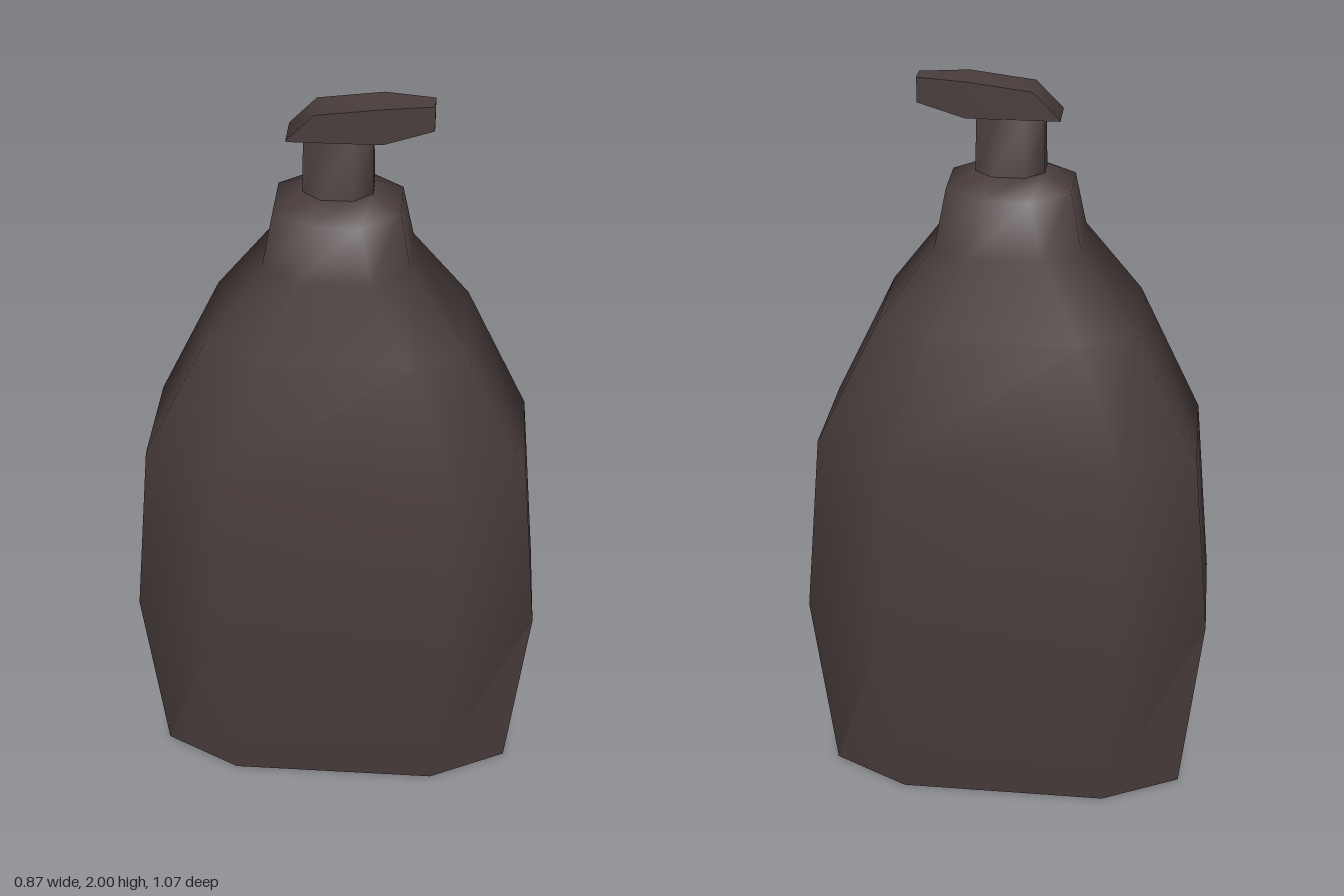
import * as THREE from 'three';
import { toCreasedNormals } from 'three/addons/utils/BufferGeometryUtils.js';

// Skin a stack of equal-length rings of [x, y, z] points and cap both ends
function loft(rings, crease) {
  const n = rings[0].length;
  const index = [];
  for (let r = 0; r < rings.length - 1; r++) {
    for (let i = 0; i < n; i++) {
      const j = (i + 1) % n;
      const a = r * n + i, b = r * n + j;
      index.push(a, a + n, b, b, a + n, b + n);
    }
  }
  const last = (rings.length - 1) * n;
  for (let i = 1; i < n - 1; i++) {
    index.push(0, i, i + 1);
    index.push(last, last + i + 1, last + i);
  }
  const geometry = new THREE.BufferGeometry();
  geometry.setAttribute('position', new THREE.Float32BufferAttribute(rings.flat(2), 3));
  geometry.setIndex(index);
  return toCreasedNormals(geometry, crease);
}

// Stretched octagon: half width w, flat side half length s, half length l, flat end half width e
const octagon = ([y, w, s, l, e]) => [
  [w, y, -s], [w, y, s], [e, y, l], [-e, y, l],
  [-w, y, s], [-w, y, -s], [-e, y, -l], [e, y, -l],
];

// Upright rectangle across the pump head at depth z
const slice = ([z, w, low, high]) => [
  [w, high, z], [w, low, z], [-w, low, z], [-w, high, z],
];

export function createModel() {
  const group = new THREE.Group();
  group.name = 'pumpBottle';

  const darkBrown = new THREE.MeshStandardMaterial({ color: 0x4a3d3d });
  darkBrown.name = 'darkBrown';

  const add = (name, geometry) => {
    const mesh = new THREE.Mesh(geometry, darkBrown);
    mesh.name = name;
    group.add(mesh);
  };

  // Flattened bottle body with collar
  add('bottleBody', loft([
    [0, 0.235, 0.28, 0.49, 0.13],
    [0.55, 0.294, 0.316, 0.54, 0.158],
    [1.06, 0.265, 0.3, 0.49, 0.15],
    [1.4, 0.224, 0.19, 0.325, 0.148],
    [1.6, 0.165, 0.09, 0.18, 0.092],
    [1.74, 0.147, 0.06, 0.153, 0.07],
    [1.775, 0.076, 0.04, 0.085, 0.035],
  ].map(octagon), 1.1));

  // Tapered neck below the pump
  add('neck', loft([
    [1.775, 0.076, 0.04, 0.085, 0.035],
    [1.912, 0.044, 0.035, 0.083, 0.02],
  ].map(octagon), 1.1));

  // Pump head with sloped back and narrowing nozzle
  add('pumpHead', loft([
    [-0.122, 0.048, 1.91, 1.913],
    [-0.055, 0.048, 1.91, 1.98],
    [0.106, 0.048, 1.91, 2.0],
    [0.226, 0.025, 1.938, 2.0],
  ].map(slice), 0.9));

  // The bottle stands turned about its vertical axis
  for (const mesh of group.children) mesh.rotation.y = 0.605;
  return group;
}
